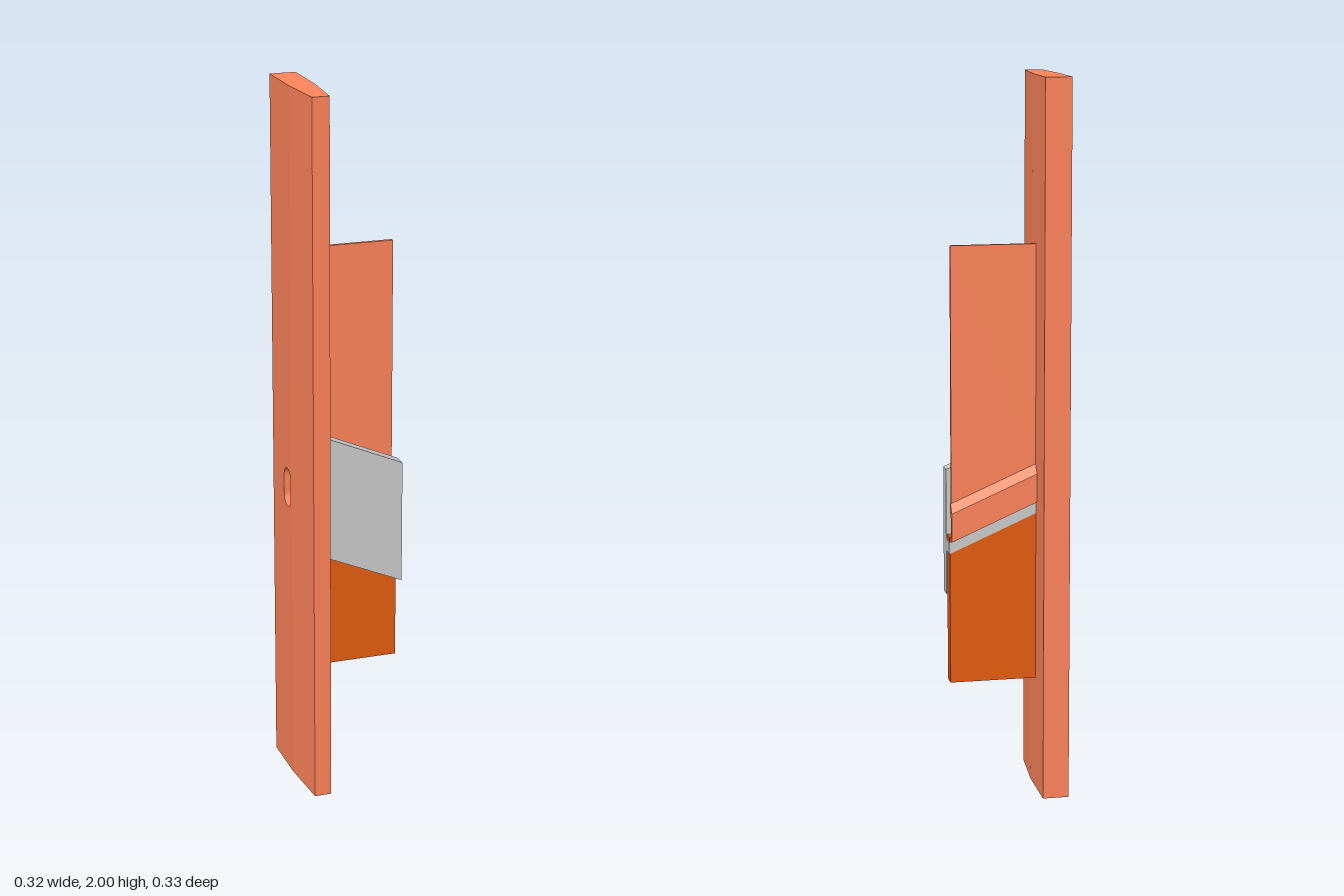
import * as THREE from 'three';

const X0 = -0.09, X1 = 0.158;          // run of the wall pieces, from post to free end
const DROP = 0.107;                    // fall of the sloping pieces over that run
const fall = x => -DROP * (x - X0) / (X1 - X0);

const coral = new THREE.MeshStandardMaterial({ color: 0xff845a });
const orange = new THREE.MeshStandardMaterial({ color: 0xe45c10 });
const grey = new THREE.MeshStandardMaterial({ color: 0xcccccc });

const outline = pts => new THREE.Shape(pts.map(p => new THREE.Vector2(...p)));

// (x, y) outline given thickness from z0 to z1
function alongZ(pts, z0, z1) {
  const g = new THREE.ExtrudeGeometry(outline(pts), { depth: z1 - z0, bevelEnabled: false });
  return g.translate(0, 0, z0);
}

// (z, y) section swept from x0 to x1
function alongX(shape, x0, x1) {
  const g = new THREE.ExtrudeGeometry(shape, { depth: x1 - x0, bevelEnabled: false, curveSegments: 6 });
  return g.rotateY(-Math.PI / 2).translate(x1, 0, 0);
}

// tilt a swept piece so that it falls towards the free end
function slope(g) {
  const p = g.attributes.position;
  for (let i = 0; i < p.count; i++) p.setY(i, p.getY(i) + fall(p.getX(i)));
  g.computeVertexNormals();
  return g;
}

export function createModel() {
  const model = new THREE.Group();
  const add = (name, geometry, material) => {
    const mesh = new THREE.Mesh(geometry, material);
    mesh.name = name;
    model.add(mesh);
  };

  // Post: straight rear part pierced by a rounded slot
  const rear = outline([[-0.167, 0], [0, 0], [0, 2], [-0.167, 2]]);
  const slot = new THREE.Path();
  const zc = -0.037, r = 0.03;
  slot.absarc(zc, 0.89, r, 0, Math.PI);
  slot.absarc(zc, 0.838, r, Math.PI, Math.PI * 2);
  slot.closePath();
  rear.holes.push(slot);
  add('postRear', alongX(rear, -0.16, -0.087), coral);

  // Post: front part tapering to a narrower nose
  const nose = new THREE.ExtrudeGeometry(
    outline([[-0.16, 0], [-0.148, -0.163], [-0.1, -0.163], [-0.087, 0]]),
    { depth: 2, bevelEnabled: false });
  add('postNose', nose.rotateX(-Math.PI / 2), coral);

  // Thin upper board with a sloping foot
  add('upperBoard', alongZ([[X0, 0.925], [0.15, 0.925 + fall(0.15)], [0.15, 1.545], [X0, 1.545]], -0.054, -0.043), coral);

  // Sloping hood along the foot of the board
  const hood = outline([[-0.073, 0.83], [-0.06, 0.83], [-0.06, 0.89], [-0.043, 0.915],
    [-0.043, 0.935], [-0.054, 0.935], [-0.073, 0.91]]);
  add('hood', slope(alongX(hood, X0, 0.152)), coral);

  // Lower wall with a sloping top
  add('lowerWall', alongZ([[X0, 0.32], [0.155, 0.32], [0.155, 0.797 + fall(0.155)], [X0, 0.797]], -0.06, -0.018), orange);

  // Sloping side plate and the ledge behind it
  const band = (z0, z1, y0, y1) =>
    slope(alongX(outline([[z0, y0], [z1, y0], [z1, y1], [z0, y1]]), X0, X1));
  add('sidePlate', band(-0.018, 0.024, 0.672, 1.027), grey);
  add('ledge', band(-0.063, -0.018, 0.797, 0.83), grey);

  // Flight of small steps on the ledge
  const count = 23, end = 0.156, run = (end - X0) / count;
  const steps = [[end, 0.822 + fall(end)], [X0, 0.822]];
  for (let i = 0; i < count; i++) {
    const x = X0 + i * run, y = 0.838 + fall(x);
    steps.push([x, y], [x + run, y]);
  }
  add('steps', alongZ(steps, -0.06, -0.018), orange);

  return model;
}
